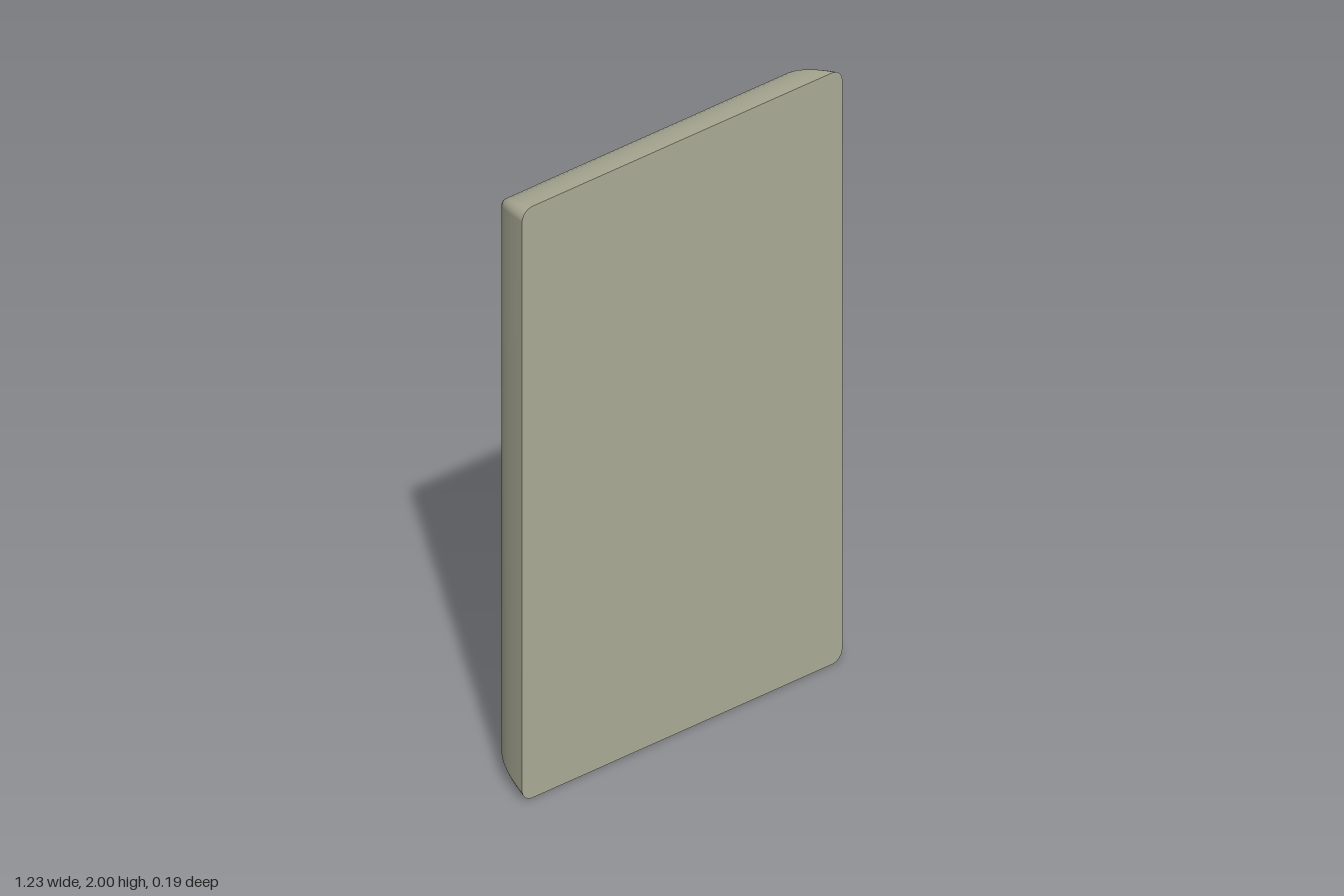
import * as THREE from 'three';

const FACE = 0.072, BACK = -0.097;      // plate depth, built facing +z and turned round at the end
const W = 0.615, H = 1;                 // half size of the plate
const R = 0.255, CUT = 0.215;           // socket circle radius and half height of its flats
const SOCKET_Y = 0.34;

const ivory = new THREE.MeshStandardMaterial({ color: 0xb2b29c, side: THREE.DoubleSide });
const black = new THREE.MeshStandardMaterial({ color: 0x080808, side: THREE.DoubleSide });

function add(parent, name, geometry, material = ivory) {
  const mesh = new THREE.Mesh(geometry, material);
  mesh.name = name;
  parent.add(mesh);
  return mesh;
}

// Points of a rounded rectangle, counter-clockwise
function roundedRect(w, h, r, steps = 6) {
  const pts = [];
  [[1, 1], [-1, 1], [-1, -1], [1, -1]].forEach(([sx, sy], q) => {
    for (let i = 0; i <= steps; i++) {
      const a = (q + i / steps) * Math.PI / 2;
      pts.push(new THREE.Vector2(sx * (w - r) + r * Math.cos(a), sy * (h - r) + r * Math.sin(a)));
    }
  });
  return pts;
}

// Circle with flat top and bottom
function socketOutline(cy, inset, Type = THREE.Shape) {
  const r = R - inset, a = Math.asin((CUT - inset) / r), s = new Type();
  s.absarc(0, cy, r, -a, a, false);
  s.absarc(0, cy, r, Math.PI - a, Math.PI + a, false);
  s.closePath();
  return s;
}

const rect = (x0, x1, y0, y1) => [[x0, y0], [x1, y0], [x1, y1], [x0, y1]];

function quads(list) {
  const pos = [];
  for (const [a, b, c, d] of list) pos.push(...a, ...b, ...c, ...a, ...c, ...d);
  const g = new THREE.BufferGeometry();
  g.setAttribute('position', new THREE.Float32BufferAttribute(pos, 3));
  g.computeVertexNormals();
  return g;
}

// Curved rim lofted through shrinking rounded rectangles
function rimGeometry(profile) {
  const pos = [], index = [];
  let n = 0;
  profile.forEach(([inset, z], k) => {
    const ring = roundedRect(W - inset, H - inset, Math.max(0.04 - inset * 0.4, 0.008));
    n = ring.length;
    ring.forEach(p => pos.push(p.x, p.y, z));
    if (k === 0) return;
    for (let i = 0; i < n; i++) {
      const j = (i + 1) % n, a = (k - 1) * n, b = k * n;
      index.push(a + i, a + j, b + j, a + i, b + j, b + i);
    }
  });
  const g = new THREE.BufferGeometry();
  g.setAttribute('position', new THREE.Float32BufferAttribute(pos, 3));
  g.setIndex(index);
  g.computeVertexNormals();
  return g;
}

function makePlate() {
  const plate = new THREE.Group();
  plate.name = 'wallPlate';
  const profile = [[0, BACK], [0.009, -0.06], [0.019, -0.025], [0.029, 0.004], [0.041, 0.033],
    [0.053, 0.054], [0.061, 0.064], [0.069, 0.07], [0.078, FACE]];
  add(plate, 'plateRim', rimGeometry(profile));

  const face = new THREE.Shape(roundedRect(W - 0.078, H - 0.078, 0.0088));
  for (const s of [1, -1]) face.holes.push(socketOutline(s * SOCKET_Y, 0, THREE.Path));
  add(plate, 'plateFace', new THREE.ShapeGeometry(face, 32)).position.z = FACE;

  const back = add(plate, 'plateBack', new THREE.ShapeGeometry(new THREE.Shape(roundedRect(W, H, 0.04))));
  back.rotation.y = Math.PI;
  back.position.z = BACK;
  return plate;
}

function makeSocket() {
  const socket = new THREE.Group();
  socket.name = 'socket';
  const depth = 0.02, dip = 0.012;

  // Each blade slot sits in a shallow tapered recess
  const recesses = [
    { outer: rect(0.025, 0.175, -0.16, 0.06), inner: rect(0.079, 0.12, -0.13, 0.03) },
    { outer: rect(-0.175, -0.025, -0.16, 0.06), inner: rect(-0.115, -0.077, -0.115, 0.03) },
  ];
  const body = socketOutline(0, 0.004);
  for (const { outer } of recesses) {
    body.holes.push(new THREE.Path(outer.map(p => new THREE.Vector2(...p))));
  }

  // Grounding hole, flat at the top and round below
  const ground = new THREE.Path();
  ground.moveTo(0.045, 0.195);
  ground.lineTo(-0.045, 0.195);
  ground.lineTo(-0.045, 0.145);
  ground.absarc(0, 0.145, 0.045, Math.PI, 2 * Math.PI, false);
  ground.closePath();
  body.holes.push(ground);

  const geo = new THREE.ExtrudeGeometry(body, { depth, bevelEnabled: false, curveSegments: 32 });
  geo.translate(0, 0, -depth);
  add(socket, 'socketBody', geo);

  const slopes = [];
  for (const { outer, inner } of recesses) {
    for (let i = 0; i < 4; i++) {
      const j = (i + 1) % 4;
      slopes.push([[...outer[i], 0], [...outer[j], 0], [...inner[j], -dip], [...inner[i], -dip]]);
    }
  }
  add(socket, 'slotRecesses', quads(slopes));

  // Side arm of the T-shaped slot, following the recess slope
  const path = [[-0.22, 0.001], [-0.175, 0.001], [-0.112, -dip + 0.001]];
  const arm = [0, 1].map(i => {
    const [[x0, z0], [x1, z1]] = [path[i], path[i + 1]];
    return [[x0, -0.065, z0], [x1, -0.065, z1], [x1, -0.025, z1], [x0, -0.025, z0]];
  });
  add(socket, 'slotArm', quads(arm), black);

  // Dark interior seen through the slots and the gap round the socket
  add(socket, 'socketInterior', new THREE.ShapeGeometry(socketOutline(0, -0.003), 32), black)
    .position.z = -depth + 0.003;
  return socket;
}

function makeScrew() {
  const screw = new THREE.Group();
  screw.name = 'screw';
  const r = 0.061, h = 0.025, slot = 0.0145, profile = [];
  for (let i = 0; i <= 10; i++) {
    const a = i / 10 * Math.PI / 2;
    profile.push(new THREE.Vector2(r * Math.cos(a), h * Math.sin(a)));
  }
  const wallShape = new THREE.Shape([...profile, ...profile.slice(0, -1).reverse()
    .map(p => new THREE.Vector2(-p.x, p.y))]);
  const basis = new THREE.Matrix4().makeBasis(
    new THREE.Vector3(0, 1, 0), new THREE.Vector3(0, 0, 1), new THREE.Vector3(1, 0, 0));

  // Two half domes, cut back to leave the driver slot
  for (const turn of [0, Math.PI]) {
    const half = new THREE.Group();
    half.name = 'screwHalf';
    const dome = new THREE.LatheGeometry(profile, 24, 0, Math.PI).rotateX(Math.PI / 2);
    const p = dome.attributes.position;
    for (let i = 0; i < p.count; i++) p.setX(i, Math.max(p.getX(i), slot));
    add(half, 'screwDome', dome);
    add(half, 'slotWall', new THREE.ShapeGeometry(wallShape).applyMatrix4(basis)).position.x = slot;
    half.rotation.z = turn;
    screw.add(half);
  }
  add(screw, 'slotFloor', new THREE.CylinderGeometry(0.055, 0.06, 0.01, 32).rotateX(Math.PI / 2)).position.z = 0.005;
  return screw;
}

export function createModel() {
  const model = new THREE.Group();
  model.name = 'wallOutlet';
  const outlet = new THREE.Group();
  outlet.name = 'outlet';
  outlet.add(makePlate());
  for (const s of [1, -1]) {
    const socket = makeSocket();
    socket.position.set(0, s * SOCKET_Y, FACE + 0.0015);
    outlet.add(socket);
  }
  const screw = makeScrew();
  screw.position.z = FACE;
  outlet.add(screw);

  // The sockets face -z
  outlet.rotation.y = Math.PI;
  outlet.position.y = H;
  model.add(outlet);
  return model;
}
